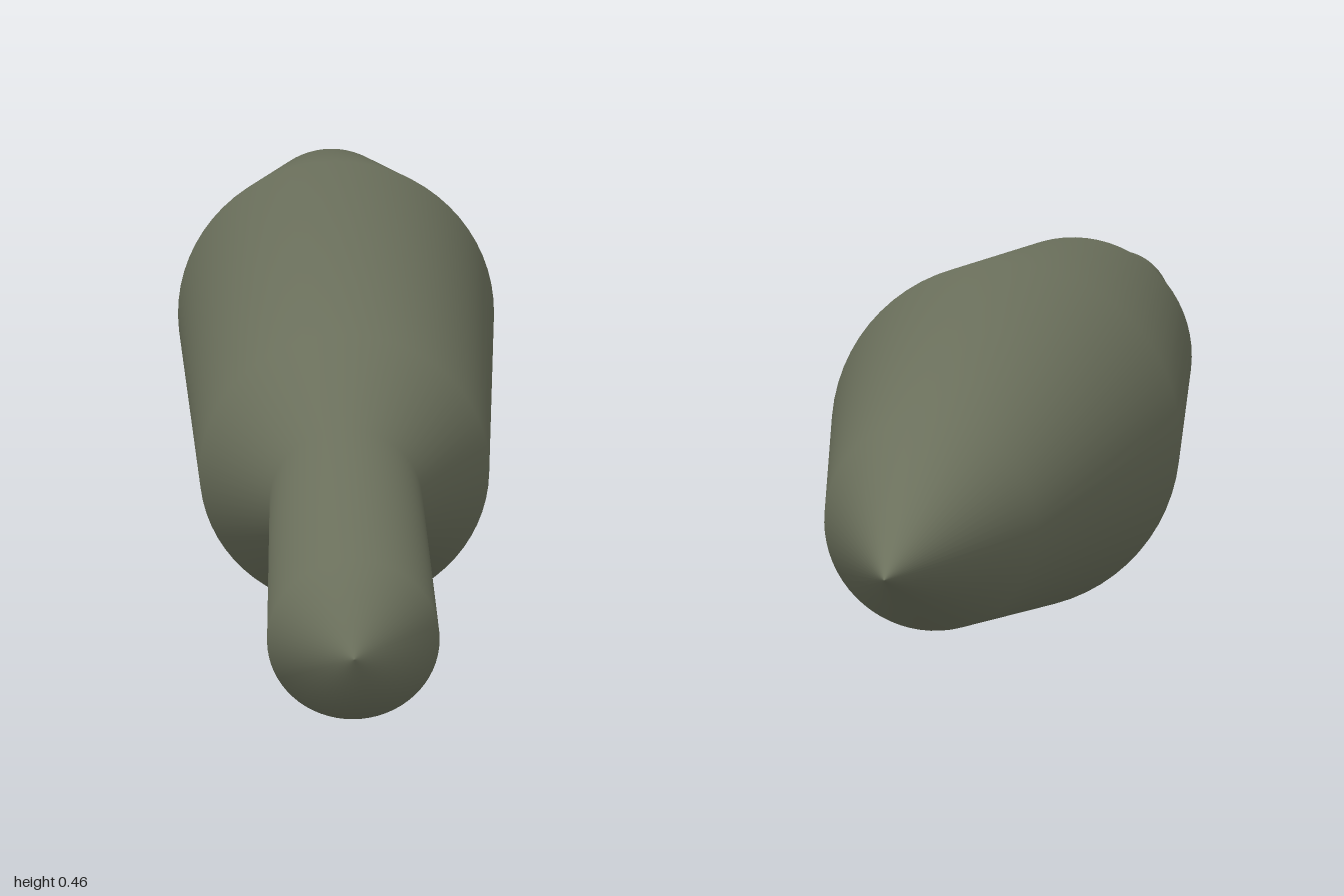
import * as THREE from 'three';

export function createModel() {
  const model = new THREE.Group();
  model.name = 'dart';

  const olive = new THREE.MeshStandardMaterial({ color: 0x6b705c });
  olive.name = 'olive grey';

  // Turned profile as [radius, position along z], from the pointed back to the stem end
  const profile = [
    [0, -1],         // sharp tip
    [0.122, -0.745], // tip shoulder
    [0.23, -0.23],   // widest ring
    [0.179, 0.435],  // body end
    [0.092, 0.535],  // collar into the stem
    [0.092, 0.95],   // stem end
    [0, 1],          // blunt stem cone
  ].map(([r, z]) => new THREE.Vector2(r, z));

  // One continuous smooth turned body, laid along z
  const geometry = new THREE.LatheGeometry(profile, 64);
  geometry.rotateX(Math.PI / 2);
  const body = new THREE.Mesh(geometry, olive);
  body.name = 'taperedBodyAndStem';
  body.position.y = 0.23;
  model.add(body);

  return model;
}
